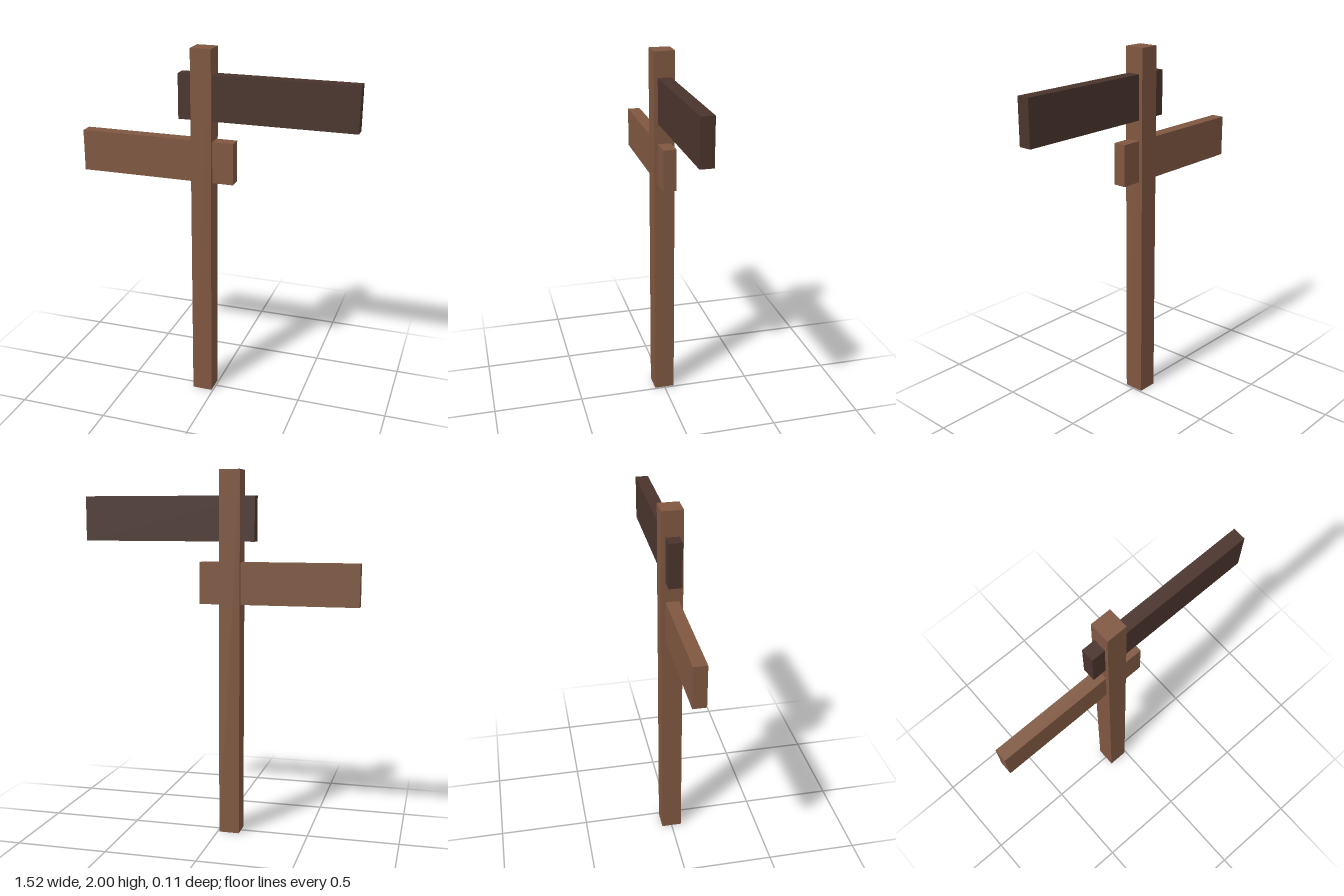
import * as THREE from 'three';

export function createModel() {
  const model = new THREE.Group();
  model.name = 'signpost';

  const wood = new THREE.MeshStandardMaterial({ color: 0x7f5740 });
  wood.name = 'brown wood';
  const darkWood = new THREE.MeshStandardMaterial({ color: 0x4a342c });
  darkWood.name = 'dark wood';

  // Box given by its x range, y range and depth
  const beam = (name, material, x0, x1, y0, y1, depth) => {
    const mesh = new THREE.Mesh(new THREE.BoxGeometry(x1 - x0, y1 - y0, depth), material);
    mesh.position.set((x0 + x1) / 2, (y0 + y1) / 2, 0);
    mesh.name = name;
    model.add(mesh);
  };

  // Upright post
  beam('post', wood, -0.122, -0.009, 0, 2, 0.113);
  // Two boards pointing opposite ways
  beam('upperBoard', darkWood, -0.198, 0.76, 1.62, 1.863, 0.071);
  beam('lowerBoard', wood, -0.76, 0.107, 1.281, 1.509, 0.071);

  return model;
}
